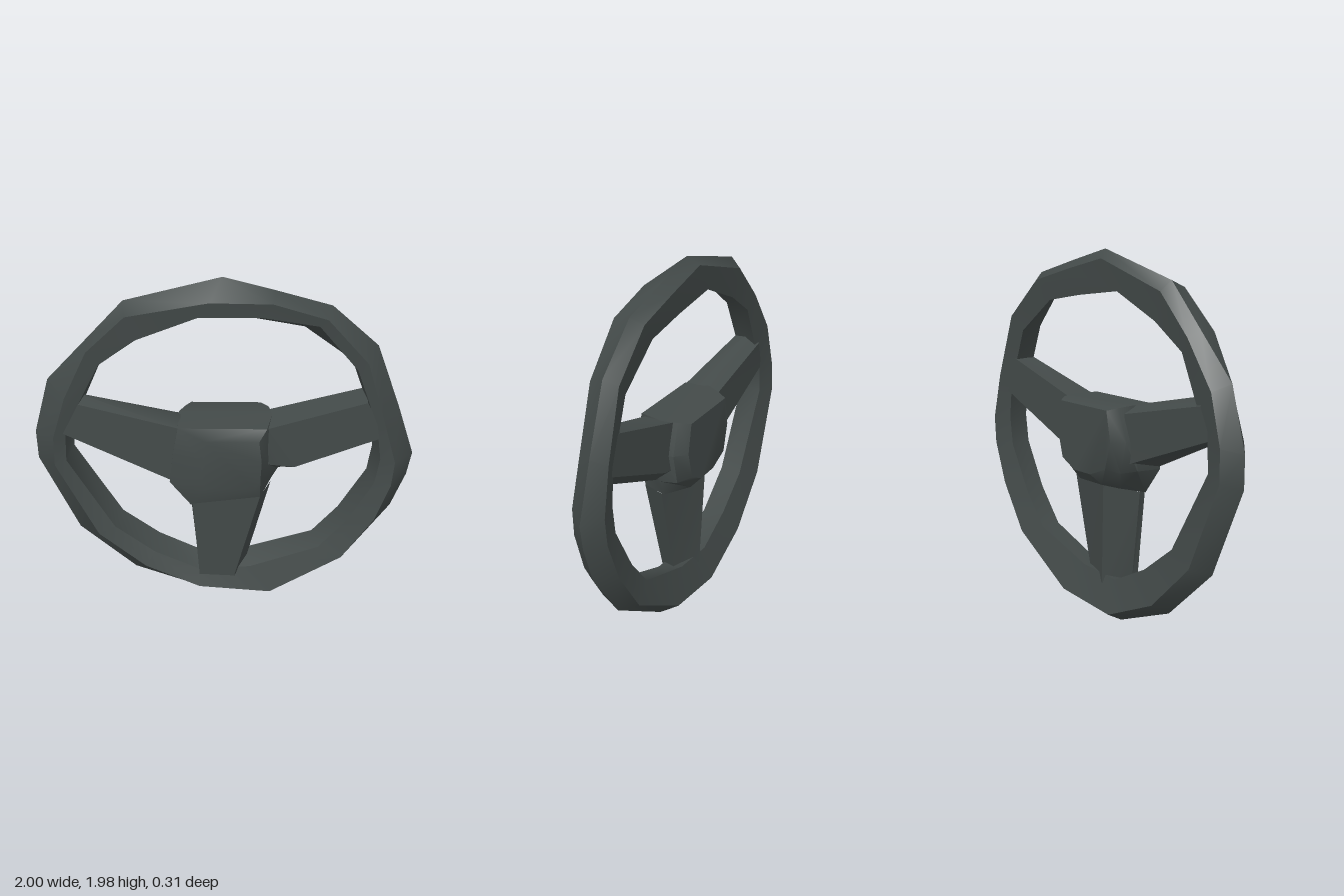
import * as THREE from 'three';
import { toCreasedNormals } from 'three/addons/utils/BufferGeometryUtils.js';

// Skin a series of equal-length rings of [x, y, z] points; ends: 'joined', 'capped' or 'open'
function loft(rings, ends) {
  const n = rings[0].length, m = rings.length, index = [];
  for (let i = 0; i < (ends === 'joined' ? m : m - 1); i++) {
    for (let j = 0; j < n; j++) {
      const k = (j + 1) % n, next = ((i + 1) % m) * n;
      const a = i * n + j, b = i * n + k, c = next + k, d = next + j;
      index.push(a, b, c, a, c, d);
    }
  }
  if (ends === 'capped') {
    const e = (m - 1) * n;
    for (let j = 1; j < n - 1; j++) index.push(0, j + 1, j, e, e + j, e + j + 1);
  }
  const g = new THREE.BufferGeometry();
  g.setAttribute('position', new THREE.Float32BufferAttribute(rings.flat(2), 3));
  g.setIndex(index);
  return toCreasedNormals(g, 0.7);
}

// Rim stations, anticlockwise: outer x, outer y, inner x, inner y,
// then how far out the front ridge lies, and the inner bevel
const RIM = [
  [1, 0.96, 0.79, 0.98, 0.5], [0.9, 1.26, 0.77, 1.17, 0.42], [0.77, 1.61, 0.65, 1.5, 0.55],
  [0.53, 1.83, 0.4, 1.69, 0.8, 0.5], [0.25, 1.91, 0.15, 1.735, 0.85, 0.4], [-0.01, 1.98, -0.15, 1.775, 0.55],
  [-0.5, 1.85, -0.43, 1.65, 0.8], [-0.7, 1.63, -0.62, 1.52, 0.85], [-0.91, 1.4, -0.72, 1.29, 0.5],
  [-1, 1.08, -0.8, 1.13, 0.45], [-1, 0.91, -0.81, 0.96, 0.45], [-0.81, 0.44, -0.57, 0.52, 0.5],
  [-0.51, 0.15, -0.37, 0.36, 0.5], [-0.14, 0, -0.14, 0.24, 0.55], [0.28, 0.04, 0.12, 0.26, 0.85],
  [0.7, 0.31, 0.49, 0.385, 0.75], [0.91, 0.61, 0.63, 0.56, 0.65], [0.98, 0.82, 0.77, 0.82, 0.55],
];

function rimGeometry() {
  return loft(RIM.map(([ox, oy, ix, iy, ridge, bevel = 0.14]) => {
    const at = (t, z) => [ix + (ox - ix) * t, iy + (oy - iy) * t, z];
    const backRidge = 0.53 + 0.25 * Math.abs(oy - 1);
    return [at(ridge, 0.112 - 0.014 * oy), at(1, -0.015), at(backRidge, 0.018 * oy - 0.108),
      at(0, -0.06), at(bevel, 0.075)];
  }), 'joined');
}

// Spoke sections from hub to rim, each anticlockwise seen from the rim
const SPOKES = {
  rightSpoke: [
    [[-0.23, 0.89, -0.07], [-0.28, 0.86, 0.118], [-0.23, 1.185, 0.115], [-0.23, 1.2, 0], [-0.23, 1.16, -0.075]],
    [[-0.82, 1.12, -0.06], [-0.84, 1.125, 0.08], [-0.76, 1.305, 0.075], [-0.76, 1.325, 0], [-0.76, 1.28, -0.07]],
  ],
  leftSpoke: [
    [[0.22, 1.19, -0.075], [0.21, 1.18, 0.1], [0.23, 0.94, 0.08], [0.27, 0.86, 0], [0.22, 0.92, -0.075]],
    [[0.24, 1.19, -0.075], [0.23, 1.18, 0.1], [0.37, 0.94, 0.1], [0.3, 0.87, 0], [0.32, 0.94, -0.075]],
    [[0.73, 1.335, -0.065], [0.73, 1.325, 0.075], [0.84, 1.12, 0.075], [0.83, 1.09, 0], [0.83, 1.15, -0.065]],
  ],
  lowerSpoke: [
    [[0.25, 0.77, -0.01], [0.19, 0.76, 0.125], [-0.17, 0.71, 0.125], [-0.18, 0.71, 0.08], [-0.08, 0.76, -0.09]],
    [[0.115, 0.2, -0.01], [0.055, 0.18, 0.1], [-0.14, 0.19, 0.1], [-0.14, 0.19, 0.06], [-0.05, 0.2, -0.075]],
  ],
};

// Hub from its raised back boss to the raised front, each ring starting top left
function hubGeometry() {
  const at = (z, pts) => pts.map(([x, y]) => [x, y, z]);
  return loft([
    at(-0.155, [[-0.18, 1.18], [-0.21, 1.02], [-0.17, 0.87], [-0.05, 0.82],
      [0.08, 0.82], [0.18, 0.87], [0.22, 1.02], [0.19, 1.18]]),
    at(-0.1, [[-0.21, 1.19], [-0.27, 1.02], [-0.23, 0.85], [-0.08, 0.76],
      [0.1, 0.76], [0.24, 0.85], [0.28, 1.02], [0.23, 1.19]]),
    at(-0.03, [[-0.24, 1.2], [-0.27, 1.02], [-0.28, 0.86], [-0.14, 0.74],
      [0.25, 0.77], [0.3, 0.87], [0.29, 1.02], [0.25, 1.19]]),
    at(0.12, [[-0.24, 1.19], [-0.27, 1.02], [-0.29, 0.85], [-0.18, 0.7],
      [0.19, 0.75], [0.2, 0.88], [0.21, 1.03], [0.22, 1.19]]),
    at(0.152, [[-0.1, 1.13], [-0.12, 1], [-0.12, 0.92], [-0.1, 0.83],
      [0.16, 0.83], [0.19, 0.89], [0.195, 1], [0.18, 1.13]]),
  ], 'capped');
}

export function createModel() {
  const group = new THREE.Group();
  group.name = 'steeringWheel';
  const material = new THREE.MeshStandardMaterial({ color: 0x434a49 });
  material.name = 'darkGrey';
  const add = (name, geometry) => {
    const mesh = new THREE.Mesh(geometry, material);
    mesh.name = name;
    group.add(mesh);
  };
  add('rim', rimGeometry());
  for (const [name, sections] of Object.entries(SPOKES)) add(name, loft(sections, 'open'));
  add('hub', hubGeometry());
  return group;
}
